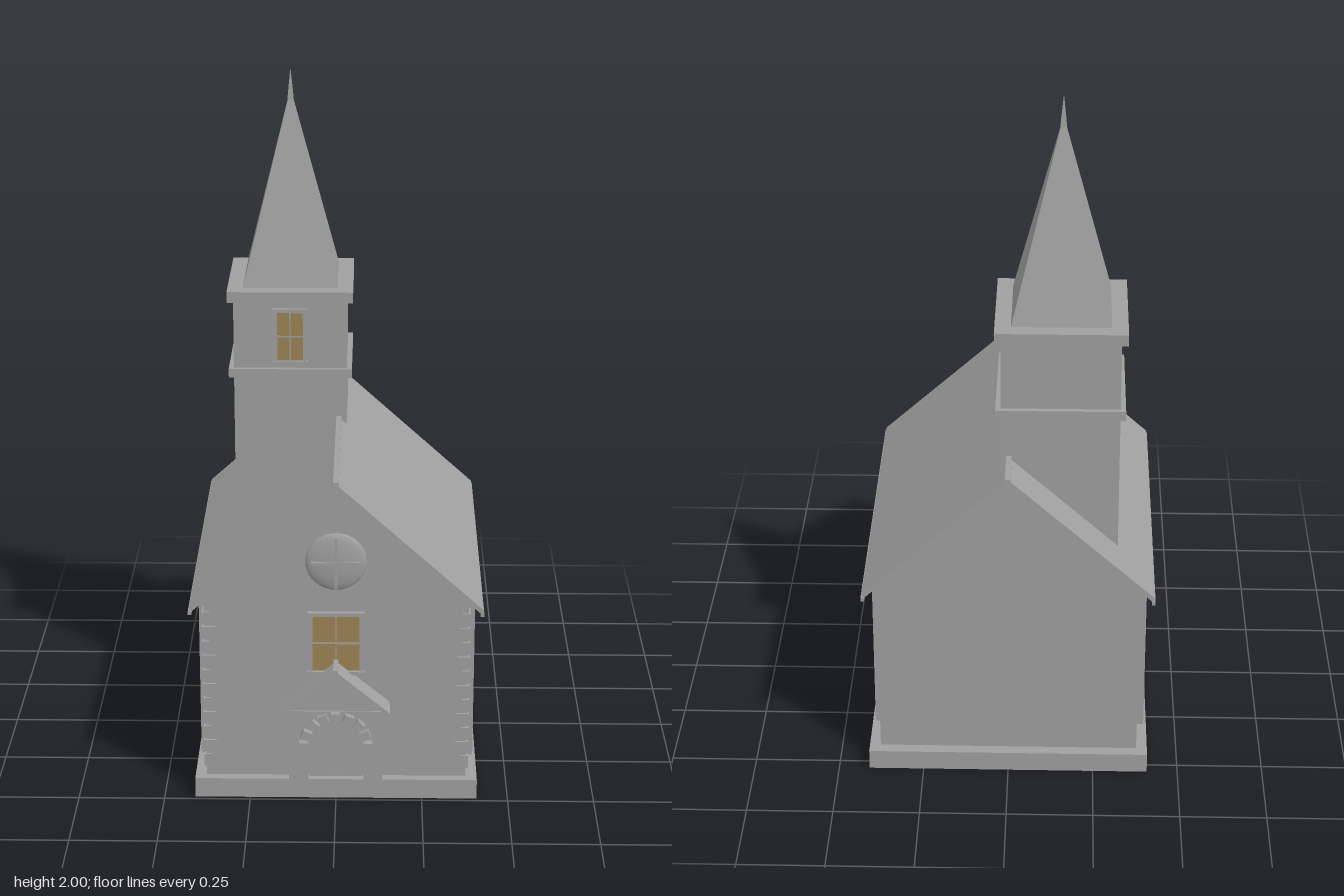
import * as THREE from 'three';

const stone = new THREE.MeshStandardMaterial({ color: 0xa0a0a0 });
stone.name = 'grey stone';
const amber = new THREE.MeshStandardMaterial({ color: 0x9c8556 });
amber.name = 'amber glass';

function add(parent, name, geometry, material = stone) {
  const mesh = new THREE.Mesh(geometry, material);
  mesh.name = name;
  parent.add(mesh);
  return mesh;
}

// Box given by its minimum and maximum on each axis
function box(parent, name, x0, x1, y0, y1, z0, z1, material) {
  const mesh = add(parent, name, new THREE.BoxGeometry(x1 - x0, y1 - y0, z1 - z0), material);
  mesh.position.set((x0 + x1) / 2, (y0 + y1) / 2, (z0 + z1) / 2);
  return mesh;
}

// Front outline pulled along z
function prism(parent, name, shape, z0, z1) {
  const geometry = new THREE.ExtrudeGeometry(shape, { depth: z1 - z0, bevelEnabled: false, curveSegments: 16 });
  geometry.translate(0, 0, z0);
  return add(parent, name, geometry);
}

function polygon(points) {
  return new THREE.Shape(points.map(([x, y]) => new THREE.Vector2(x, y)));
}

// Two-slope roof slab of even thickness
function gableRoof(parent, name, halfWidth, eave, ridge, thickness, z0, z1) {
  return prism(parent, name, polygon([
    [-halfWidth, eave], [0, ridge - thickness], [halfWidth, eave],
    [halfWidth, eave + thickness], [0, ridge], [-halfWidth, eave + thickness],
  ]), z0, z1);
}

// Framed window facing +z, standing on its wall at z = 0
function makeWindow(name, width, height) {
  const group = new THREE.Group();
  group.name = name;
  const w = width / 2, h = height / 2, f = 0.011;
  box(group, 'windowGlass', -w + f, w - f, -h + f, h - f, 0, 0.004, amber);
  for (const s of [-1, 1]) {
    const jamb = box(group, 'windowJamb', -f / 2, f / 2, -h, h, 0, 0.01);
    jamb.position.x = s * (w - f / 2);
    const ledge = box(group, s > 0 ? 'windowLintel' : 'windowSill', -w - 0.004, w + 0.004, -f / 2, f / 2, 0, 0.014);
    ledge.position.y = s * (h - f / 2);
  }
  box(group, 'mullion', -0.002, 0.002, -h + f, h - f, 0.003, 0.007);
  box(group, 'transom', -w + f, w - f, -0.002, 0.002, 0.003, 0.007);
  return group;
}

export function createModel() {
  const church = new THREE.Group();
  church.name = 'church';

  // Nave: foundation, walls, gables and roof
  box(church, 'foundation', -0.41, 0.41, 0, 0.06, -0.534, 0.487);
  box(church, 'walls', -0.378, 0.378, 0.06, 0.618, -0.5, 0.46);
  prism(church, 'gables', polygon([[-0.378, 0.612], [0.378, 0.612], [0, 0.965]]), -0.505, 0.465);
  gableRoof(church, 'roof', 0.418, 0.583, 0.98, 0.018, -0.532, 0.486);
  box(church, 'ridgeCap', -0.008, 0.008, 0.965, 0.985, -0.54, 0.489);

  for (const s of [-1, 1]) {
    box(church, 'eaveTrim', s * 0.416 - 0.005, s * 0.416 + 0.005, 0.58, 0.592, -0.537, 0.489);

    // Side buttresses and windows
    for (const z of [0.304, -0.024, -0.352]) {
      box(church, 'buttress', s * 0.388 - 0.014, s * 0.388 + 0.014, 0.06, 0.565, z - 0.024, z + 0.024);
    }
    for (const z of [0.17, -0.19]) {
      const win = makeWindow('sideWindow', 0.072, 0.17);
      win.position.set(s * 0.378, 0.355, z);
      win.rotation.y = s * Math.PI / 2;
      church.add(win);
    }

    // Alternating cornerstones on the front corners
    for (let i = 0; i < 11; i++) {
      const y = 0.09 + i * 0.045;
      const long = i % 2 ? 0.038 : 0.022;
      const x = s * (0.384 - long / 2);
      box(church, 'cornerstone', x - long / 2, x + long / 2, y, y + 0.038, 0.466 - (i % 2 ? 0.03 : 0.045), 0.466);
    }
  }

  // Window over the porch
  const frontWindow = makeWindow('frontWindow', 0.156, 0.195);
  frontWindow.position.set(0, 0.484, 0.46);
  church.add(frontWindow);

  // Domed round window with crossed bars
  const round = new THREE.Group();
  round.name = 'roundWindow';
  round.position.set(0, 0.738, 0.465);
  const dome = new THREE.SphereGeometry(0.087, 32, 10, 0, Math.PI * 2, 0, Math.PI / 2);
  dome.rotateX(Math.PI / 2);
  dome.scale(1, 1, 0.2);
  add(round, 'roundPane', dome);
  box(round, 'uprightBar', -0.004, 0.004, -0.078, 0.078, 0, 0.02);
  box(round, 'crossBar', -0.07, 0.07, -0.004, 0.004, 0, 0.02);
  church.add(round);

  // Porch: arched front, roof, arch stones and doors
  const porch = new THREE.Group();
  porch.name = 'porch';
  const arch = new THREE.Shape();
  arch.moveTo(-0.135, 0.04);
  arch.lineTo(-0.08, 0.04);
  arch.lineTo(-0.08, 0.185);
  arch.absarc(0, 0.185, 0.08, Math.PI, 0, true);
  arch.lineTo(0.08, 0.04);
  arch.lineTo(0.135, 0.04);
  arch.lineTo(0.135, 0.295);
  arch.lineTo(0, 0.415);
  arch.lineTo(-0.135, 0.295);
  prism(porch, 'porchArch', arch, 0.46, 0.515);
  gableRoof(porch, 'porchRoof', 0.155, 0.282, 0.427, 0.015, 0.46, 0.535);
  box(porch, 'porchRidgeCap', -0.007, 0.007, 0.415, 0.432, 0.46, 0.54);
  box(porch, 'porchBeam', -0.137, 0.137, 0.283, 0.295, 0.46, 0.52);
  for (let i = 0; i < 9; i++) {
    const a = Math.PI * i / 8;
    const block = add(porch, 'archStone', new THREE.BoxGeometry(0.028, 0.026, 0.025));
    block.position.set(0.092 * Math.cos(a), 0.187 + 0.092 * Math.sin(a), 0.522);
    block.rotation.z = a;
  }
  for (const s of [-1, 1]) {
    const leaf = box(porch, 'doorLeaf', -0.037, 0.037, 0.06, 0.25, 0.46, 0.468);
    leaf.position.x = s * 0.039;
  }
  church.add(porch);

  // Tower with two bands, window, spire and finial
  const tower = new THREE.Group();
  tower.name = 'tower';
  tower.position.set(-0.145, 0, -0.235);
  box(tower, 'towerShaft', -0.168, 0.168, 0.58, 1.35, -0.168, 0.168);
  box(tower, 'lowerBand', -0.183, 0.183, 1.11, 1.137, -0.183, 0.183);
  box(tower, 'cornice', -0.186, 0.186, 1.343, 1.376, -0.186, 0.186);
  const towerWindow = makeWindow('towerWindow', 0.098, 0.172);
  towerWindow.position.set(0, 1.236, 0.168);
  tower.add(towerWindow);
  for (const [name, half, y0, y1, tip] of [['spire', 0.14, 1.376, 1.94, 0.002], ['finial', 0.009, 1.915, 2, 0.001]]) {
    const cone = new THREE.CylinderGeometry(tip, half * Math.SQRT2, y1 - y0, 4).toNonIndexed();
    cone.rotateY(Math.PI / 4);
    cone.computeVertexNormals();
    add(tower, name, cone).position.y = (y0 + y1) / 2;
  }
  church.add(tower);

  return church;
}
